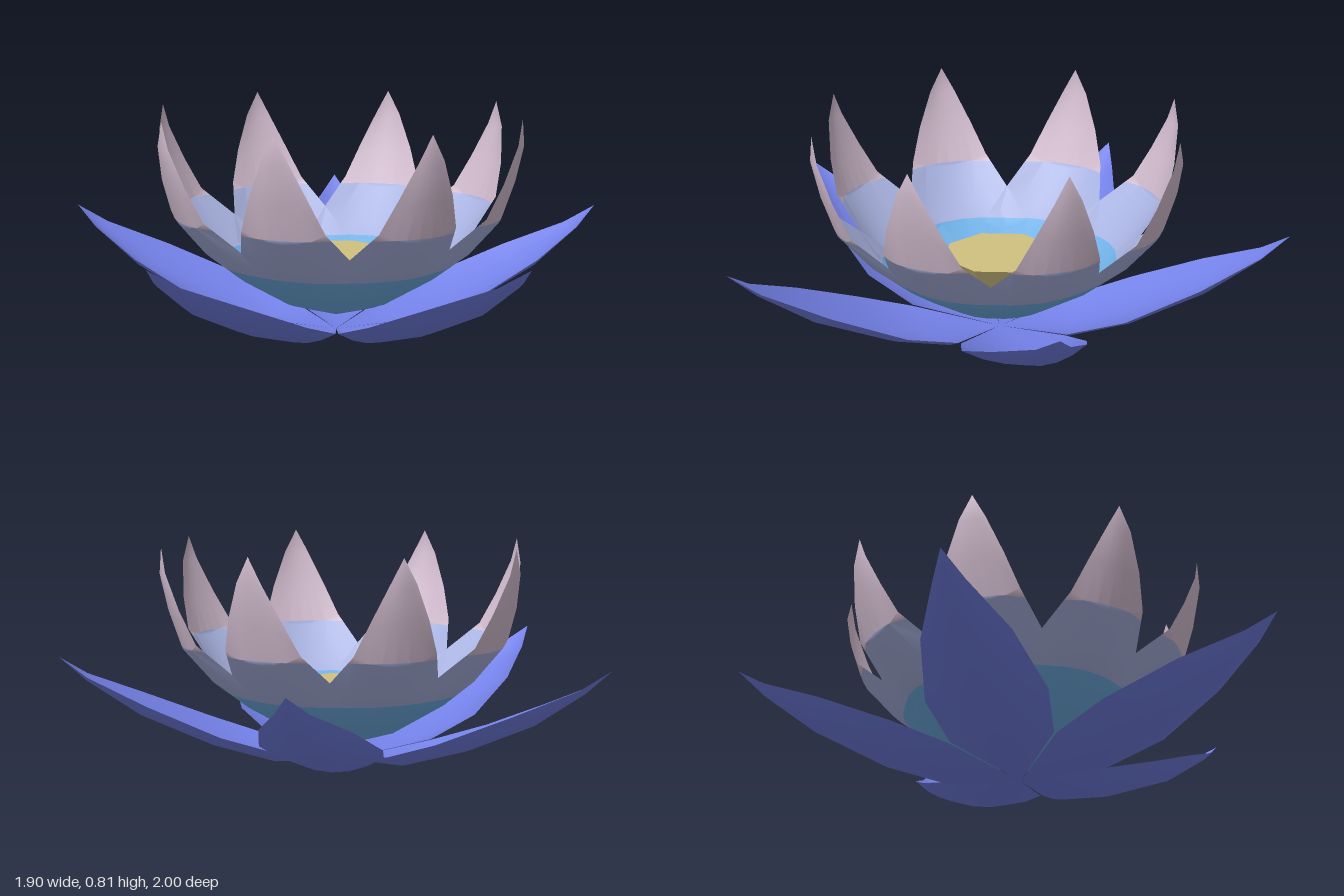
import * as THREE from 'three';
import { mergeVertices } from 'three/addons/utils/BufferGeometryUtils.js';

const mat = (name, color, side = THREE.DoubleSide) => {
  const m = new THREE.MeshStandardMaterial({ color, side });
  m.name = name;
  return m;
};

// Petal rows: midrib radius, midrib height, half width, edge radius, edge height
const INNER = [
  [0, 0.06, 0, 0, 0.06],
  [0.2, 0.12, 0.16, 0.19, 0.15],
  [0.37, 0.22, 0.235, 0.36, 0.27],
  [0.5, 0.32, 0.2, 0.47, 0.37],
  [0.605, 0.44, 0.15, 0.595, 0.48],
  [0.655, 0.58, 0.105, 0.645, 0.6],
  [0.69, 0.72, 0.048, 0.682, 0.73],
  [0.686, 0.82, 0, 0.686, 0.82],
];
const OUTER = [
  [0, 0.005, 0, 0, 0.005],
  [0.27, 0.01, 0.19, 0.27, 0.07],
  [0.5, 0.08, 0.22, 0.48, 0.14],
  [0.76, 0.195, 0.16, 0.74, 0.25],
  [0.95, 0.325, 0.057, 0.95, 0.345],
  [1.05, 0.415, 0, 1.05, 0.415],
];
const COLS = 6;

// Point on a cupped petal that points along +x
function petalPoint([r, y, w, er, ey], col) {
  const s = (col / COLS) * 2 - 1;
  return new THREE.Vector3(r + (er - r) * s * s, y + (ey - y) * s * s, w * s);
}

// Keep the part of a polygon above (sign 1) or below (sign -1) a height
function clip(poly, h, sign) {
  const out = [];
  poly.forEach((a, i) => {
    const b = poly[(i + 1) % poly.length];
    const da = (a.y - h) * sign, db = (b.y - h) * sign;
    if (da >= 0) out.push(a);
    if ((da > 0 && db < 0) || (da < 0 && db > 0)) out.push(a.clone().lerp(b, da / (da - db)));
  });
  return out;
}

// Petal surface limited to the heights lo..hi
function petalGeometry(rows, lo, hi) {
  const pos = [];
  const tri = new THREE.Triangle();
  const add = (corners) => {
    const poly = clip(clip(corners, lo, 1), hi, -1);
    for (let k = 1; k < poly.length - 1; k++) {
      tri.set(poly[0], poly[k], poly[k + 1]);
      if (tri.getArea() > 1e-8) [tri.a, tri.b, tri.c].forEach((p) => pos.push(p.x, p.y, p.z));
    }
  };
  for (let i = 0; i < rows.length - 1; i++) {
    for (let c = 0; c < COLS; c++) {
      const a = petalPoint(rows[i], c), b = petalPoint(rows[i], c + 1);
      const d = petalPoint(rows[i + 1], c), e = petalPoint(rows[i + 1], c + 1);
      add([a, b, e]);
      add([a, e, d]);
    }
  }
  const g = new THREE.BufferGeometry();
  g.setAttribute('position', new THREE.Float32BufferAttribute(pos, 3));
  const merged = mergeVertices(g, 1e-4);
  merged.computeVertexNormals();
  return merged;
}

// Ring of petals, each made of coloured height bands
function petalRing(name, count, startAngle, rows, bands) {
  const ring = new THREE.Group();
  ring.name = name + 's';
  const parts = bands.map(([part, lo, hi, m]) => [part, petalGeometry(rows, lo, hi), m]);
  for (let i = 0; i < count; i++) {
    const petal = new THREE.Group();
    petal.name = name;
    petal.rotation.y = startAngle + (i / count) * Math.PI * 2;
    for (const [part, geo, m] of parts) {
      const mesh = new THREE.Mesh(geo, m);
      mesh.name = part;
      petal.add(mesh);
    }
    ring.add(petal);
  }
  return ring;
}

export function createModel() {
  const leafBlue = mat('outer petal blue', 0x7380e6);
  const skyBlue = mat('petal base blue', 0x70b0e6);
  const lavender = mat('petal middle lavender', 0xaab4e2);
  const pink = mat('petal tip pink', 0xd5bfd2);
  const yellow = mat('seed pod yellow', 0xd0c080, THREE.FrontSide);

  const flower = new THREE.Group();
  flower.name = 'waterLily';
  flower.position.x = 0.1;

  // Five low spreading petals
  flower.add(petalRing('outerPetal', 5, Math.PI, OUTER, [['outerPetalBlade', -1, 2, leafBlue]]));

  // Eight upright petals forming the cup
  flower.add(petalRing('innerPetal', 8, 0, INNER, [
    ['petalBase', -1, 0.275, skyBlue],
    ['petalMiddle', 0.275, 0.455, lavender],
    ['petalTip', 0.455, 2, pink],
  ]));

  // Tapered eight-sided seed pod
  const podGeo = new THREE.CylinderGeometry(0.207, 0.05, 0.22, 8).toNonIndexed();
  podGeo.computeVertexNormals();
  const pod = new THREE.Mesh(podGeo, yellow);
  pod.name = 'seedPod';
  pod.position.y = 0.19;
  flower.add(pod);

  const model = new THREE.Group();
  model.name = 'model';
  model.add(flower);
  return model;
}
